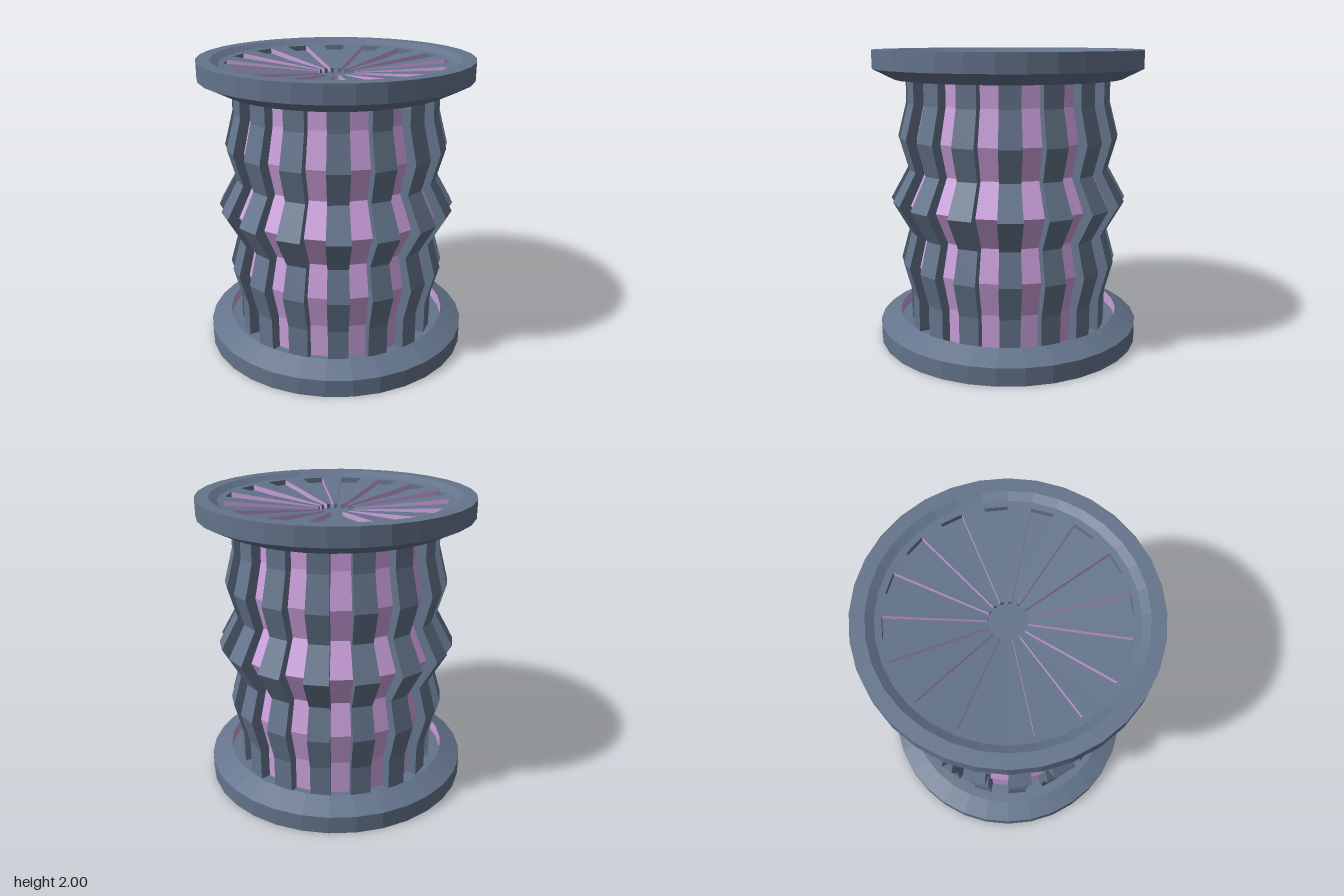
import * as THREE from 'three';
import { mergeGeometries } from 'three/addons/utils/BufferGeometryUtils.js';

const COUNT = 16;
const STEP = Math.PI / COUNT; // angle of one rib or one groove

const slate = new THREE.MeshStandardMaterial({ color: 0x64748b, flatShading: true });
const lilac = new THREE.MeshStandardMaterial({ color: 0xcba0dc, flatShading: true });
const slateThin = slate.clone();
const lilacThin = lilac.clone();
slateThin.side = lilacThin.side = THREE.DoubleSide;

const points = (profile) => profile.map(([r, y]) => new THREE.Vector2(r, y));

function part(name, geometry, material) {
  const mesh = new THREE.Mesh(geometry, material);
  mesh.name = name;
  return mesh;
}

// full 32-sided ring from a profile of [radius, height]
const ring = (profile) => new THREE.LatheGeometry(points(profile), COUNT * 2);

// every second facet of such a ring, starting at the given angle
function facets(profile, start) {
  const list = [];
  for (let i = 0; i < COUNT; i++) {
    list.push(new THREE.LatheGeometry(points(profile), 1, start + i * 2 * STEP, STEP));
  }
  return mergeGeometries(list);
}

// radial walls joining two profiles at every facet border
function walls(inner, outer) {
  const pos = [];
  for (let i = 0; i < COUNT * 2; i++) {
    const s = Math.sin(i * STEP), c = Math.cos(i * STEP);
    const put = ([r, y]) => pos.push(r * s, y, r * c);
    for (let j = 0; j < inner.length - 1; j++) {
      [inner[j], outer[j], outer[j + 1], inner[j], outer[j + 1], inner[j + 1]].forEach(put);
    }
  }
  const geometry = new THREE.BufferGeometry();
  geometry.setAttribute('position', new THREE.Float32BufferAttribute(pos, 3));
  geometry.computeVertexNormals();
  return geometry;
}

// end flange with a hidden groove below and a dished, fan-like face on top
function flange(name) {
  const group = new THREE.Group();
  group.name = name;
  group.add(part('rim', ring([
    [0.77, 0.81], [0.91, 0.88], [0.91, 1], [0.82, 1], [0.77, 0.97], [0.73, 0.965],
  ]), slate));
  group.add(part('grooveWall', ring([[0.77, 0.89], [0.77, 0.81]]), lilac));
  group.add(part('grooveFloor', ring([[0.55, 0.89], [0.77, 0.89]]), slate));

  const high = [[0.73, 0.965], [0.12, 0.9]];
  const low = [[0.73, 0.93], [0.12, 0.87]];
  const centre = [0, 0.87];
  group.add(part('raisedBlades', facets([...high, low[1], centre], 0), slate));
  group.add(part('sunkenBlades', facets([high[0], ...low, centre], STEP), slate));
  group.add(part('bladeSides', walls(low, high), lilacThin));
  return group;
}

export function createModel() {
  const model = new THREE.Group();
  model.name = 'spool';

  // pleated barrel: bulging ribs with a shallower copy between them
  const rib = [
    [0.69, 0.11], [0.69, 0.34], [0.75, 0.57], [0.69, 0.785], [0.81, 1],
    [0.69, 1.215], [0.75, 1.43], [0.69, 1.66], [0.69, 1.89],
  ];
  const groove = rib.map(([r, y]) => [r * 0.9, y]);
  const barrel = new THREE.Group();
  barrel.name = 'barrel';
  barrel.add(part('ribs', facets(rib, STEP), slate));
  barrel.add(part('grooves', facets(groove, 0), lilac));
  barrel.add(part('ribSides', walls(groove, rib), slateThin));
  model.add(barrel);

  // upper flange, and the same one turned over for the lower end
  const top = flange('topFlange');
  const bottom = flange('bottomFlange');
  top.position.y = bottom.position.y = 1;
  bottom.rotation.set(0, STEP, Math.PI);
  model.add(top, bottom);
  return model;
}
